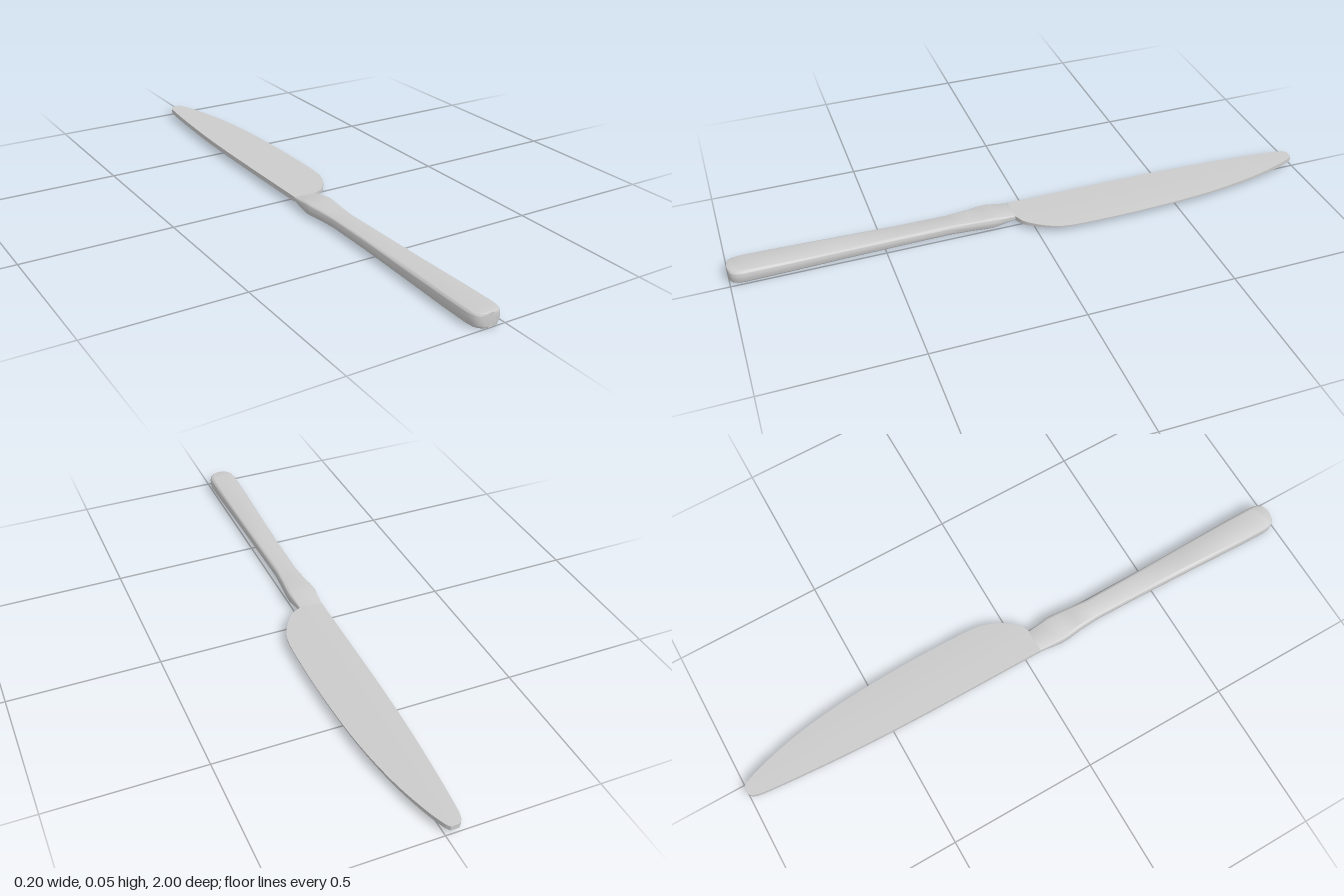
import * as THREE from 'three';
import { toCreasedNormals } from 'three/addons/utils/BufferGeometryUtils.js';

const MID_Y = 0.025;

// Skin a list of equal-length rings (counter-clockwise seen from +z, ordered by rising z) and cap both ends.
function loft(rings) {
  const n = rings[0].length;
  const points = rings.flat();
  const index = [];
  for (let i = 0; i < rings.length - 1; i++) {
    for (let j = 0; j < n; j++) {
      const a = i * n + j, b = i * n + (j + 1) % n;
      index.push(a, b, b + n, a, b + n, a + n);
    }
  }
  [rings[0], rings[rings.length - 1]].forEach((ring, end) => {
    const centre = points.length;
    const start = end ? (rings.length - 1) * n : 0;
    points.push(ring.reduce((s, p) => s.add(p), new THREE.Vector3()).divideScalar(n));
    for (let j = 0; j < n; j++) {
      const a = start + j, b = start + (j + 1) % n;
      if (end) index.push(centre, a, b);
      else index.push(centre, b, a);
    }
  });
  const geometry = new THREE.BufferGeometry().setFromPoints(points);
  geometry.setIndex(index);
  return toCreasedNormals(geometry, 0.6);
}

// Rounded rectangle ring for the handle
function handleRing([z, cx, halfW, halfH]) {
  const r = Math.min(0.014, halfH * 0.65, halfW * 0.65);
  const ring = [];
  for (let corner = 0; corner < 4; corner++) {
    const sx = corner === 0 || corner === 3 ? 1 : -1;
    const sy = corner < 2 ? 1 : -1;
    for (let k = 0; k <= 5; k++) {
      const a = (corner + k / 5) * Math.PI / 2;
      ring.push(new THREE.Vector3(
        cx + sx * (halfW - r) + r * Math.cos(a),
        MID_Y + sy * (halfH - r) + r * Math.sin(a), z));
    }
  }
  return ring;
}

// Blade slice: thick along the spine, thinning towards the cutting edge
function bladeRing(left, right, z) {
  const lower = [], upper = [];
  for (let k = 0; k <= 8; k++) {
    const x = THREE.MathUtils.lerp(left, right, k / 8);
    const t = THREE.MathUtils.clamp((x + 0.09) / 0.187, 0, 1);
    const half = 0.0085 - 0.0065 * t ** 2.6;
    lower.push(new THREE.Vector3(x, MID_Y - half, z));
    upper.unshift(new THREE.Vector3(x, MID_Y + half, z));
  }
  return [...lower, ...upper];
}

export function createModel() {
  const model = new THREE.Group();
  model.name = 'tableKnife';
  const metal = new THREE.MeshStandardMaterial({ color: 0xcccccc });

  // Blade outline: spine x, cutting edge x, z
  const outline = new THREE.CatmullRomCurve3([
    [-0.040, -0.014, -1.0], [-0.051, -0.006, -0.99], [-0.058, 0.003, -0.97],
    [-0.063, 0.018, -0.93], [-0.073, 0.053, -0.8], [-0.083, 0.081, -0.62],
    [-0.088, 0.094, -0.42], [-0.089, 0.097, -0.22], [-0.089, 0.090, -0.08],
    [-0.089, 0.070, -0.025], [-0.089, 0.047, 0.012], [-0.089, 0.022, 0.04],
    [-0.089, -0.008, 0.055],
  ].map((p) => new THREE.Vector3(...p)), false, 'centripetal');
  const blade = new THREE.Mesh(
    loft(outline.getPoints(48).map((p) => bladeRing(p.x, p.y, p.z))), metal);
  blade.name = 'blade';

  // Handle stations: z, centre x, half width, half height
  const handle = new THREE.Mesh(loft([
    [0.055, -0.049, 0.040, 0.0085],
    [0.09, -0.049, 0.044, 0.0135],
    [0.13, -0.048, 0.049, 0.0200],
    [0.16, -0.048, 0.048, 0.0200],
    [0.21, -0.047, 0.042, 0.0185],
    [0.28, -0.047, 0.037, 0.0178],
    [0.45, -0.047, 0.039, 0.0185],
    [0.65, -0.048, 0.043, 0.0205],
    [0.85, -0.049, 0.048, 0.0225],
    [0.955, -0.049, 0.049, 0.0232],
    [0.975, -0.049, 0.046, 0.0232],
    [0.988, -0.049, 0.040, 0.0230],
    [0.996, -0.049, 0.030, 0.0226],
    [1.0, -0.049, 0.016, 0.0220],
  ].map(handleRing)), metal);
  handle.name = 'handle';

  model.add(blade, handle);
  return model;
}
